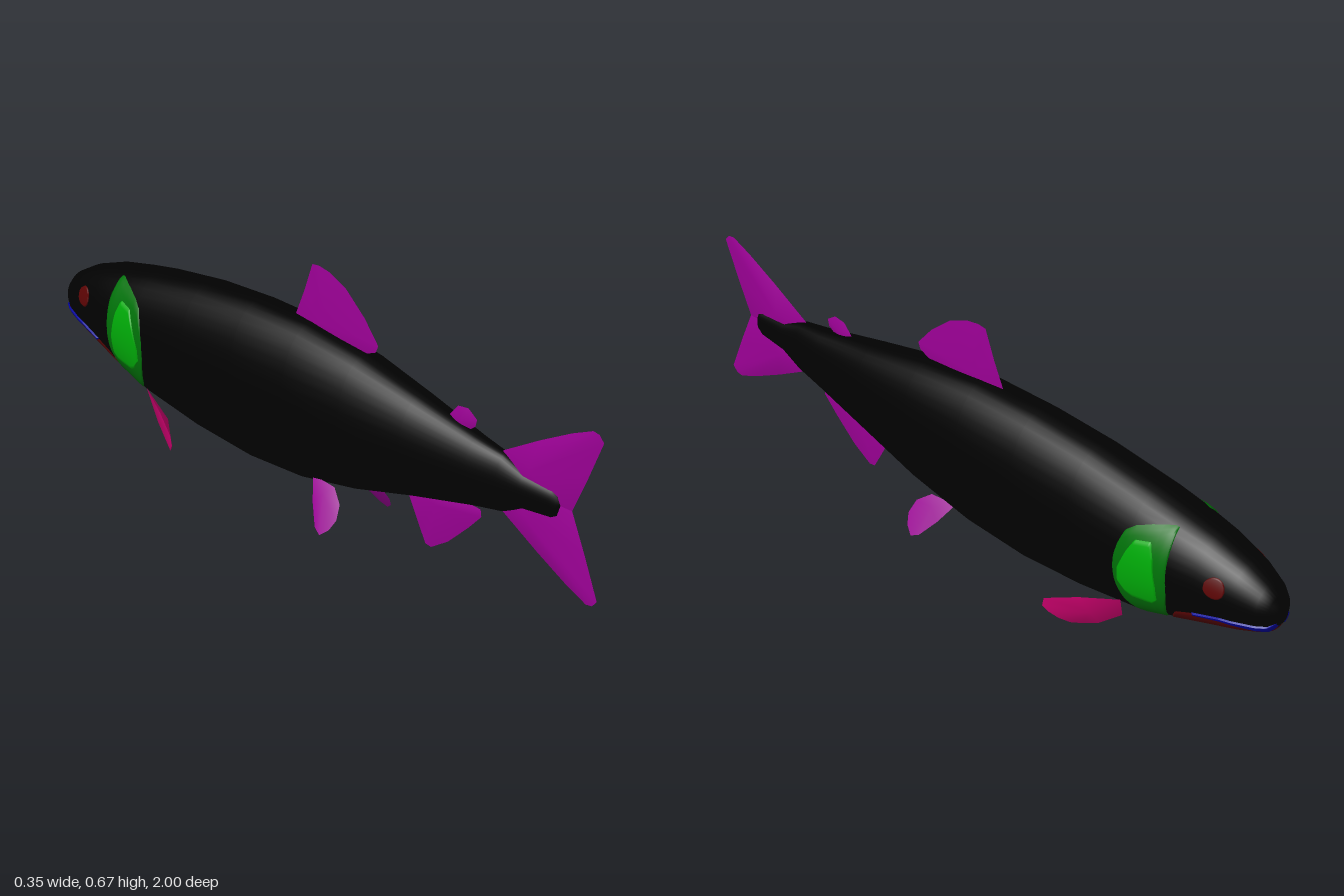
import * as THREE from 'three';
import { mergeVertices } from 'three/addons/utils/BufferGeometryUtils.js';

// Body stations, nose to tail: z, top, bottom, half width
const STATIONS = [
  [-1, 0.305, 0.305, 0], [-0.998, 0.33, 0.28, 0.022], [-0.985, 0.355, 0.26, 0.044], [-0.96, 0.38, 0.245, 0.06],
  [-0.9, 0.412, 0.222, 0.08], [-0.8, 0.445, 0.19, 0.1], [-0.7, 0.465, 0.155, 0.114], [-0.6, 0.483, 0.12, 0.121],
  [-0.4, 0.509, 0.085, 0.121], [-0.2, 0.519, 0.068, 0.12], [0, 0.515, 0.077, 0.116], [0.2, 0.487, 0.113, 0.104],
  [0.4, 0.442, 0.165, 0.081], [0.6, 0.396, 0.21, 0.051], [0.69, 0.38, 0.226, 0.036], [0.76, 0.352, 0.258, 0.027],
  [0.85, 0.343, 0.267, 0.02], [0.868, 0.333, 0.277, 0.014], [0.872, 0.305, 0.305, 0],
];

// Linear interpolation in a table keyed by its first column
function sample(table, z) {
  let i = 0;
  while (i < table.length - 2 && z > table[i + 1][0]) i++;
  const a = table[i], b = table[i + 1], t = (z - a[0]) / (b[0] - a[0]);
  return a.map((v, k) => v + (b[k] - v) * t);
}

// Point on the body at z and angle, pushed outward by lift
function skin(z, angle, lift = 0) {
  const [, top, bottom, w] = sample(STATIONS, z);
  const c = Math.cos(angle);
  const x = (w + lift) * Math.sign(c) * Math.abs(c) ** 0.85;
  return [x, (top + bottom) / 2 + ((top - bottom) / 2 + lift) * Math.sin(angle), z];
}

// Surface of rows by columns from a point rule
function grid(rows, cols, rule, flip = false) {
  const pos = [], index = [];
  for (let i = 0; i <= rows; i++) for (let j = 0; j <= cols; j++) pos.push(...rule(i, j));
  for (let i = 0; i < rows; i++) for (let j = 0; j < cols; j++) {
    const a = i * (cols + 1) + j, b = a + 1, d = a + cols + 1, e = d + 1;
    if (flip) index.push(a, d, b, b, d, e);
    else index.push(a, b, d, b, e, d);
  }
  const g = new THREE.BufferGeometry();
  g.setAttribute('position', new THREE.Float32BufferAttribute(pos, 3));
  g.setIndex(index);
  const merged = mergeVertices(g, 1e-5);
  merged.computeVertexNormals();
  return merged;
}

// Thin plate hugging one side of the body, its rim sunk to the skin;
// outline rows are z, low y, high y
function patch(outline, lift, side) {
  const z0 = outline[0][0], z1 = outline[outline.length - 1][0], n = 36, m = 20;
  return grid(n, m, (i, j) => {
    const z = z0 + (z1 - z0) * i / n;
    const [, low, high] = sample(outline, z);
    const [, top, bottom] = sample(STATIONS, z);
    const angle = y => Math.asin(THREE.MathUtils.clamp((2 * y - top - bottom) / (top - bottom), -1, 1));
    const rim = i === 0 || i === n || j === m || (j === 0 && low > 0);
    const p = skin(z, THREE.MathUtils.lerp(angle(low), angle(high), j / m), rim ? 0.0008 : lift);
    return [p[0] * side, p[1], p[2]];
  }, side < 0);
}

// Lens-shaped fin: outline fans to a raised ridge on both faces
function fin(outline, ridge, thickness) {
  const pts = outline.map(p => new THREE.Vector3(...p));
  const apex = new THREE.Vector3(...ridge), normal = new THREE.Vector3();
  pts.forEach((p, i) => normal.add(p.clone().cross(pts[(i + 1) % pts.length])));
  normal.normalize();
  const pos = [], index = [], n = pts.length;
  for (const s of [1, -1]) {
    const base = pos.length / 3;
    pos.push(...apex.clone().addScaledVector(normal, s * thickness).toArray());
    pts.forEach(p => pos.push(...p.toArray()));
    for (let i = 0; i < n; i++) {
      const a = base + 1 + i, b = base + 1 + (i + 1) % n;
      if (s > 0) index.push(base, a, b);
      else index.push(base, b, a);
    }
  }
  const g = new THREE.BufferGeometry();
  g.setAttribute('position', new THREE.Float32BufferAttribute(pos, 3));
  g.setIndex(index);
  g.computeVertexNormals();
  return g;
}

export function createModel() {
  const fish = new THREE.Group();
  fish.name = 'fish';
  const paint = (name, color) => {
    const m = new THREE.MeshStandardMaterial({ color });
    m.name = name;
    return m;
  };
  const black = paint('black skin', 0x010101);
  const purple = paint('purple fin', 0x9a0094);
  const pink = paint('pink fin', 0xcc006e);
  const darkGreen = paint('dark green gill', 0x007008);
  const green = paint('bright green gill', 0x00aa08);
  const red = paint('dark red', 0x5a0404);
  const blue = paint('blue mouth', 0x000099);
  const add = (name, geometry, material) => {
    const mesh = new THREE.Mesh(geometry, material);
    mesh.name = name;
    fish.add(mesh);
  };

  // Body
  const sides = 40;
  add('body', grid(STATIONS.length - 1, sides,
    (i, j) => skin(STATIONS[i][0], j / sides * Math.PI * 2)), black);

  // Fins on the centre line, outlines as z, y
  const flat = list => list.map(([z, y]) => [0, y, z]);
  add('dorsalFin', fin(flat([[-0.075, 0.5], [-0.035, 0.59], [-0.005, 0.67], [0.02, 0.673], [0.06, 0.666], [0.12, 0.64],
    [0.19, 0.58], [0.24, 0.52], [0.232, 0.5], [0.17, 0.475], [0.05, 0.48]]), [0, 0.525, 0.04], 0.011), purple);
  add('adiposeFin', fin(flat([[0.48, 0.4], [0.505, 0.43], [0.525, 0.452], [0.56, 0.456], [0.59, 0.435],
    [0.585, 0.415], [0.55, 0.39]]), [0, 0.42, 0.54], 0.009), purple);
  add('analFin', fin(flat([[0.35, 0.165], [0.395, 0.08], [0.42, 0.035], [0.44, 0.032], [0.5, 0.07], [0.57, 0.135],
    [0.613, 0.18], [0.61, 0.2], [0.5, 0.205]]), [0, 0.165, 0.47], 0.014), purple);
  const lobe = [[0.68, 0.08], [0.8, 0.148], [0.9, 0.2], [0.965, 0.228], [0.985, 0.225], [1, 0.208],
    [0.955, 0.1], [0.91, 0], [0.7, 0]];
  for (const [name, s] of [['upperTailFin', 1], ['lowerTailFin', -1]]) {
    const shape = lobe.map(([z, y]) => [z, 0.305 + s * y]);
    add(name, fin(flat(shape), [0, 0.305 + s * 0.065, 0.78], 0.019), purple);
  }

  // Circular eye outline
  const eye = [];
  for (let i = 0; i <= 16; i++) {
    const a = Math.PI * i / 16, r = 0.028;
    eye.push([-0.853 - r * Math.cos(a), 0.352 - r * Math.sin(a), 0.352 + r * Math.sin(a)]);
  }
  const jaw = [[-0.993, -1, 0.28], [-0.94, -1, 0.273], [-0.87, -1, 0.266], [-0.79, -1, 0.246],
    [-0.74, -1, 0.225], [-0.715, -1, 0.185], [-0.705, -1, 0.157]];
  const lips = [[-0.997, 0.279, 0.291], [-0.985, 0.268, 0.285], [-0.94, 0.266, 0.279], [-0.87, 0.262, 0.27],
    [-0.79, 0.244, 0.249]];
  const gillRim = [[-0.723, 0.27, 0.3], [-0.717, 0.23, 0.447], [-0.703, 0.18, 0.449], [-0.68, 0.148, 0.444],
    [-0.65, 0.138, 0.436], [-0.61, 0.153, 0.42], [-0.585, 0.178, 0.4], [-0.57, 0.22, 0.36], [-0.56, 0.27, 0.31]];
  const gillPlate = [[-0.697, 0.245, 0.28], [-0.68, 0.222, 0.365], [-0.665, 0.217, 0.403], [-0.62, 0.212, 0.392],
    [-0.6, 0.222, 0.353], [-0.575, 0.255, 0.285]];
  const pectoral = [[0.098, 0.17, -0.57], [0.138, 0.143, -0.465], [0.173, 0.113, -0.38], [0.173, 0.087, -0.375],
    [0.165, 0.07, -0.39], [0.15, 0.053, -0.41], [0.13, 0.04, -0.433], [0.107, 0.036, -0.455],
    [0.09, 0.05, -0.495], [0.065, 0.092, -0.55]];
  const pelvic = [[0.055, 0.115], [0.09, 0.06], [0.13, 0.012], [0.155, 0], [0.178, 0.018], [0.19, 0.045],
    [0.18, 0.08], [0.14, 0.11]].map(([z, y]) => [0.055 + (0.11 - y) * 0.61, y, z]);

  // Paired parts
  for (const [label, s] of [['left', 1], ['right', -1]]) {
    const mirror = list => list.map(([x, y, z]) => [x * s, y, z]);
    add(label + 'Eye', patch(eye, 0.004, s), red);
    add(label + 'LowerJaw', patch(jaw, 0.003, s), red);
    add(label + 'MouthLine', patch(lips, 0.006, s), blue);
    add(label + 'GillRim', patch(gillRim, 0.003, s), darkGreen);
    add(label + 'GillPlate', patch(gillPlate, 0.006, s), green);
    add(label + 'PectoralFin', fin(mirror(pectoral), [0.112 * s, 0.105, -0.485], 0.014), pink);
    add(label + 'PelvicFin', fin(mirror(pelvic), [0.07 * s, 0.085, 0.12], 0.008), purple);
  }
  return fish;
}
